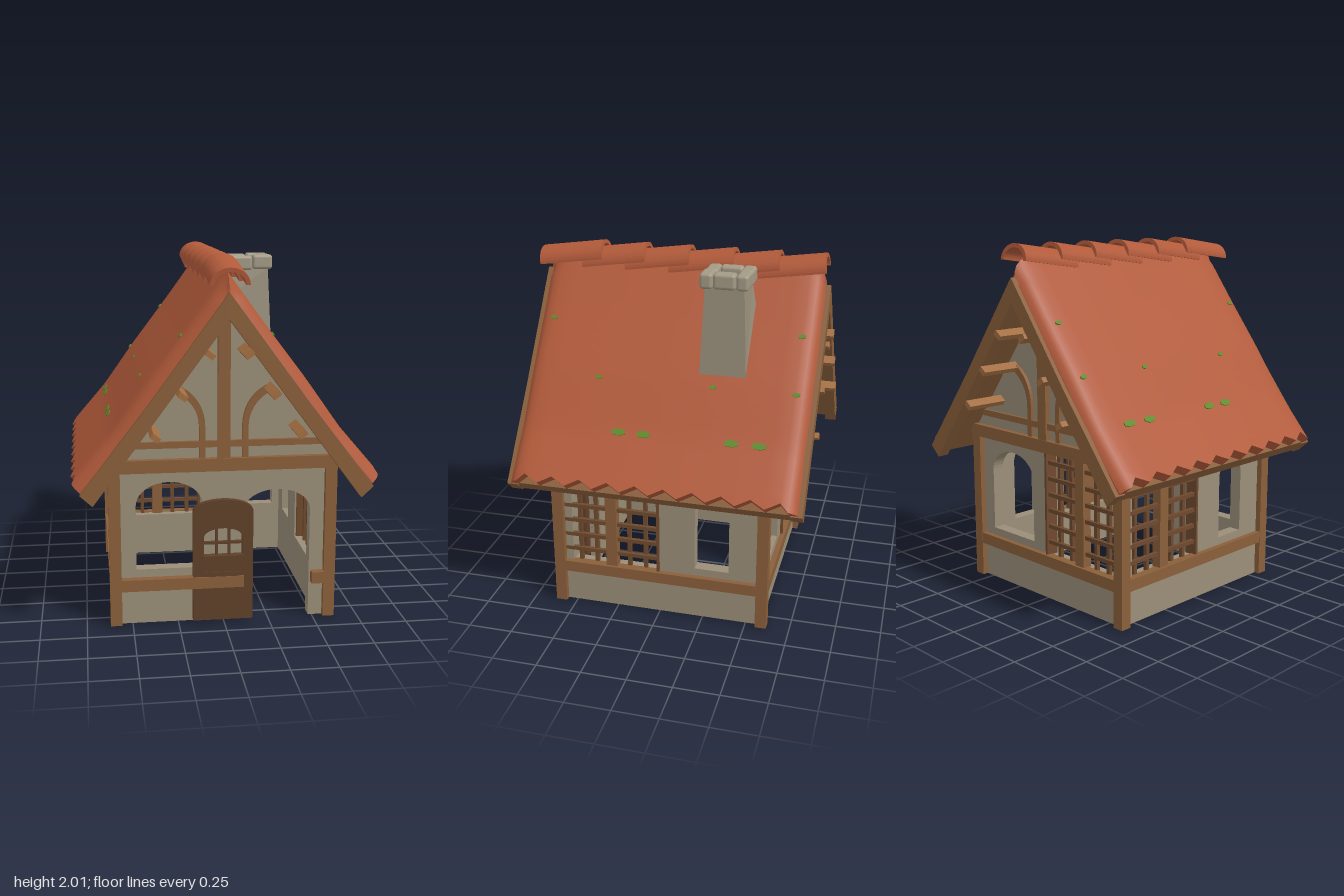
import * as THREE from 'three';
import { RoundedBoxGeometry } from 'three/addons/geometries/RoundedBoxGeometry.js';

const mat = (name, color, side = THREE.FrontSide) => {
  const m = new THREE.MeshStandardMaterial({ color, side });
  m.name = name;
  return m;
};

// Roof height over the half width, steeper near the ridge
const PROFILE = [[0, 1.93], [0.2, 1.655], [0.42, 1.365], [0.6, 1.11], [0.81, 0.865]];
function roofY(x) {
  let i = 0;
  while (i < PROFILE.length - 2 && x > PROFILE[i + 1][0]) i++;
  const [x0, y0] = PROFILE[i], [x1, y1] = PROFILE[i + 1];
  return y0 + (y1 - y0) * (x - x0) / (x1 - x0);
}
const slopeAt = (x) => Math.atan2(roofY(x - 0.01) - roofY(x + 0.01), 0.02);

export function createModel() {
  const root = new THREE.Group();
  const plaster = mat('plaster', 0x9a8e78);
  const stone = mat('capStone', 0xa39a85);
  const shaftStone = mat('chimneyStone', 0x9a907c, THREE.DoubleSide);
  const wood = mat('timber', 0x8a5f3a);
  const darkWood = mat('latticeWood', 0x6f4a2e);
  const doorWood = mat('doorWood', 0x5f4029);
  const pegWood = mat('pegWood', 0xa36e42);
  const tile = mat('roofTile', 0xb25a3a);
  const moss = mat('moss', 0x5f8a28);

  const add = (parent, name, geo, material, x = 0, y = 0, z = 0) => {
    const m = new THREE.Mesh(geo, material);
    m.name = name;
    m.position.set(x, y, z);
    parent.add(m);
    return m;
  };
  // Box given by its limits
  const box = (parent, name, material, x0, x1, y0, y1, z0, z1) =>
    add(parent, name, new THREE.BoxGeometry(x1 - x0, y1 - y0, z1 - z0), material,
      (x0 + x1) / 2, (y0 + y1) / 2, (z0 + z1) / 2);
  const extrude = (shape, depth, curveSegments = 10) =>
    new THREE.ExtrudeGeometry(shape, { depth, bevelEnabled: false, curveSegments });
  const poly = (pts, Type = THREE.Shape) => new Type(pts.map(([x, y]) => new THREE.Vector2(x, y)));
  const rect = (x0, x1, y0, y1, Type) => poly([[x0, y0], [x1, y0], [x1, y1], [x0, y1]], Type);
  function arch(cx, hw, y0, spring, top, Type) {
    const s = new Type();
    s.moveTo(cx - hw, y0);
    s.lineTo(cx + hw, y0);
    s.lineTo(cx + hw, spring);
    s.absellipse(cx, spring, hw, top - spring, 0, Math.PI, false);
    s.lineTo(cx - hw, y0);
    return s;
  }
  const side = (name, angle) => {
    const g = new THREE.Group();
    g.name = name;
    g.rotation.y = angle;
    root.add(g);
    return g;
  };
  const front = side('frontSide', 0), back = side('backSide', Math.PI);
  const right = side('rightSide', -Math.PI / 2), left = side('leftSide', Math.PI / 2);

  // Lattice panel between two timber posts, cx is its middle
  function lattice(g, cx) {
    for (const i of [-2, -1, 1, 2]) {
      const x = cx + i * 0.095 + Math.sign(i) * 0.003;
      box(g, 'latticeUpright', darkWood, x - 0.011, x + 0.011, 0.26, 0.86, 0.555, 0.577);
    }
    for (let i = 0; i < 6; i++) {
      const y = 0.34 + i * 0.092;
      box(g, 'latticeBar', darkWood, cx - 0.28, cx + 0.28, y - 0.011, y + 0.011, 0.57, 0.592);
    }
    box(g, 'latticePost', wood, cx - 0.032, cx + 0.032, 0.26, 0.86, 0.55, 0.605);
    const inner = cx > 0 ? 0 : -0.015;
    box(g, 'latticeEdge', darkWood, inner, inner + 0.015, 0.26, 0.86, 0.53, 0.605);
  }

  // Front wall with doorway and arched window
  const fw = new THREE.Shape();
  fw.moveTo(-0.59, 0);
  fw.lineTo(0.11, 0);
  fw.lineTo(0.11, 0.62);
  fw.absellipse(0.295, 0.62, 0.185, 0.12, Math.PI, 0, true);
  fw.lineTo(0.48, 0);
  fw.lineTo(0.59, 0);
  fw.lineTo(0.59, 0.9);
  fw.lineTo(-0.59, 0.9);
  fw.holes.push(arch(-0.295, 0.18, 0.31, 0.67, 0.8, THREE.Path));
  add(front, 'frontWall', extrude(fw, 0.07), plaster, 0, 0, 0.52);
  box(front, 'frontRail', wood, -0.56, 0.11, 0.2, 0.265, 0.57, 0.635);
  box(front, 'frontRailStub', wood, 0.49, 0.56, 0.2, 0.265, 0.57, 0.635);

  // Back wall with arched window and lattice
  const bw = rect(-0.59, 0.59, 0, 0.9);
  bw.holes.push(arch(-0.295, 0.18, 0.31, 0.67, 0.8, THREE.Path), rect(0, 0.56, 0.26, 0.86, THREE.Path));
  add(back, 'backWall', extrude(bw, 0.07), plaster, 0, 0, 0.52);
  lattice(back, 0.28);
  box(back, 'backRail', wood, -0.56, 0.56, 0.2, 0.265, 0.57, 0.62);

  // Side walls with narrow window and lattice
  for (const g of [left, right]) {
    const sw = rect(-0.52, 0.52, 0, 0.9);
    sw.holes.push(arch(0.3, 0.097, 0.31, 0.67, 0.76, THREE.Path), rect(-0.515, 0, 0.26, 0.86, THREE.Path));
    add(g, 'sideWall', extrude(sw, 0.07), plaster, 0, 0, 0.52);
    lattice(g, -0.28);
    box(g, 'sideRail', wood, -0.56, 0.56, 0.2, 0.265, 0.57, 0.62);
  }

  // Corner posts
  for (const x of [-0.59, 0.59]) for (const z of [-0.59, 0.59])
    box(root, 'cornerPost', wood, x - 0.032, x + 0.032, 0, 0.88, z - 0.032, z + 0.032);

  // Half-timbered gables
  for (const g of [front, back]) {
    add(g, 'gableWall', extrude(poly([[-0.64, 0.88], [0.64, 0.88], [0, 1.74]]), 0.05), plaster, 0, 0, 0.54);
    box(g, 'tieBeam', wood, -0.63, 0.63, 0.86, 0.93, 0.56, 0.625);
    box(g, 'upperRail', wood, -0.53, 0.53, 0.99, 1.025, 0.57, 0.61);
    box(g, 'kingPost', wood, -0.033, 0.033, 0.93, 1.69, 0.57, 0.62);
    for (const s of [-1, 1]) {
      // Curved brace: straight foot, then a quarter bend to the roof
      const brace = new THREE.Shape();
      brace.moveTo(s * 0.1, 0.93);
      brace.lineTo(s * 0.1, 1.1);
      brace.bezierCurveTo(s * 0.1, 1.22, s * 0.17, 1.3, s * 0.25, 1.33);
      brace.lineTo(s * 0.275, 1.3);
      brace.bezierCurveTo(s * 0.2, 1.27, s * 0.132, 1.2, s * 0.132, 1.1);
      brace.lineTo(s * 0.132, 0.93);
      add(g, 'curvedBrace', extrude(brace, 0.04), wood, 0, 0, 0.57);
      for (const [x, y] of [[0.1, 1.52], [0.24, 1.31], [0.38, 1.1]]) {
        const p = add(g, 'purlin', new THREE.BoxGeometry(0.05, 0.03, 0.275), pegWood, s * x, y, 0.6975);
        p.rotation.z = -s * 0.93 + Math.PI / 2;
      }
    }
    // Barge boards
    add(g, 'bargeBoard', extrude(poly([[0, 1.83], [-0.4, 1.285], [-0.77, 0.805], [-0.705, 0.745],
      [0, 1.695], [0.705, 0.745], [0.77, 0.805], [0.4, 1.285]]), 0.065), wood, 0, 0, 0.75);
  }

  // Roof boarding under the tiles
  add(root, 'roofBoarding', extrude(poly([[0, 1.85], [-0.4, 1.3], [-0.77, 0.815], [-0.73, 0.765],
    [0, 1.74], [0.73, 0.765], [0.77, 0.815], [0.4, 1.3]]), 1.5), wood, 0, 0, -0.75);

  // Tiled slope: a slab bent along the profile, rolled at the gables, zigzag at the eave
  function slopeGeometry() {
    const nZ = 24, nS = 20, geo = new THREE.BoxGeometry(1, 1, 1, nS, 1, nZ), p = geo.attributes.position;
    const inset = [0, 0.015, 0.045, 0.09], drop = [0.06, 0.03, 0.01, 0];
    for (let i = 0; i < p.count; i++) {
      const u = p.getX(i) + 0.5, top = p.getY(i) > 0;
      const k = Math.round((p.getZ(i) + 0.5) * nZ), e = Math.min(k, nZ - k);
      let z = -0.7 + (k - 3) * 1.4 / 18;
      if (e < 3) z = Math.sign(k - nZ / 2) * (0.79 - inset[e]);
      let x = u * 0.805;
      if (u > 0.99) x += e >= 3 && k % 2 ? -0.015 : 0.013;
      const a = slopeAt(Math.min(Math.max(x, 0.02), 0.79));
      const d = top ? (e < 3 ? drop[e] : 0) : 0.075;
      const dx = Math.min(d * Math.sin(a), x);
      p.setXYZ(i, x - dx, roofY(x) - d * (x < 0.06 ? 1.3 : Math.cos(a)), z);
    }
    geo.computeVertexNormals();
    return geo;
  }
  const slope = slopeGeometry();
  add(root, 'roofSlopeLeft', slope, tile);
  add(root, 'roofSlopeRight', slope, tile).rotation.y = Math.PI;

  // Overlapping ridge tiles
  const cap = new THREE.Shape();
  cap.absellipse(0, 0, 0.102, 0.088, 0, Math.PI, false);
  cap.absellipse(0, 0, 0.08, 0.066, Math.PI, 0, true);
  const capGeo = extrude(cap, 0.37, 12).translate(0, 0, -0.185);
  for (let i = 0; i < 6; i++)
    add(root, 'ridgeTile', capGeo, tile, 0, 1.893, 0.642 - i * 0.251).rotation.x = 0.14;

  // Moss patches: x, z, length
  const patches = [[0.605, 0.22, 0.085], [0.605, 0.08, 0.08], [0.605, -0.4, 0.085], [0.605, -0.55, 0.085],
    [0.435, 0.38, 0.04], [0.435, -0.26, 0.04], [0.435, -0.71, 0.045], [0.24, 0.7, 0.04], [0.24, -0.7, 0.045]];
  for (const s of [-1, 1]) for (const [x, z, len] of patches) {
    const m = add(root, 'mossPatch', new THREE.CylinderGeometry(0.5, 0.5, 0.008, 7), moss, s * x, roofY(x) + 0.003, z);
    m.scale.set(len > 0.06 ? 0.04 : 0.025, 1, len);
    m.rotation.z = -s * slopeAt(x);
  }

  // Tapered hollow chimney whose foot follows the roof
  const shaft = new THREE.CylinderGeometry(0.106 * Math.SQRT2, 0.13 * Math.SQRT2, 1, 4, 1, true).toNonIndexed();
  shaft.rotateY(Math.PI / 4);
  const sp = shaft.attributes.position;
  for (let i = 0; i < sp.count; i++) {
    const x = sp.getX(i) + 0.265;
    sp.setXYZ(i, x, sp.getY(i) > 0 ? 1.88 : roofY(x) - 0.04, sp.getZ(i) - 0.303);
  }
  shaft.computeVertexNormals();
  add(root, 'chimneyShaft', shaft, shaftStone);
  const stones = [[0.2, -0.398, 0.13, 0.07], [0.33, -0.4, 0.13, 0.066], [0.205, -0.208, 0.14, 0.07],
    [0.335, -0.206, 0.12, 0.07], [0.167, -0.303, 0.065, 0.125], [0.353, -0.303, 0.075, 0.12]];
  stones.forEach(([x, z, w, d], i) =>
    add(root, 'chimneyCapStone', new RoundedBoxGeometry(w, 0.085, d, 3, 0.018), stone, x, 1.907 + (i % 2) * 0.006, z));

  // Open door folded back against the wall
  const door = new THREE.Group();
  door.name = 'door';
  root.add(door);
  const leaf = arch(-0.005, 0.165, 0.012, 0.635, 0.7, THREE.Shape);
  leaf.holes.push(arch(-0.005, 0.105, 0.385, 0.49, 0.54, THREE.Path));
  add(door, 'doorLeaf', extrude(leaf, 0.033), doorWood, 0, 0, 0.594);
  for (const x of [-0.04, 0.03]) box(door, 'doorWindowBar', doorWood, x - 0.007, x + 0.007, 0.38, 0.535, 0.6, 0.62);
  box(door, 'doorWindowBar', doorWood, -0.11, 0.1, 0.448, 0.462, 0.6, 0.62);
  box(door, 'doorWindowSill', doorWood, -0.12, 0.11, 0.365, 0.385, 0.62, 0.635);
  box(door, 'doorPanel', doorWood, -0.105, 0.085, 0.09, 0.29, 0.62, 0.632);
  return root;
}
